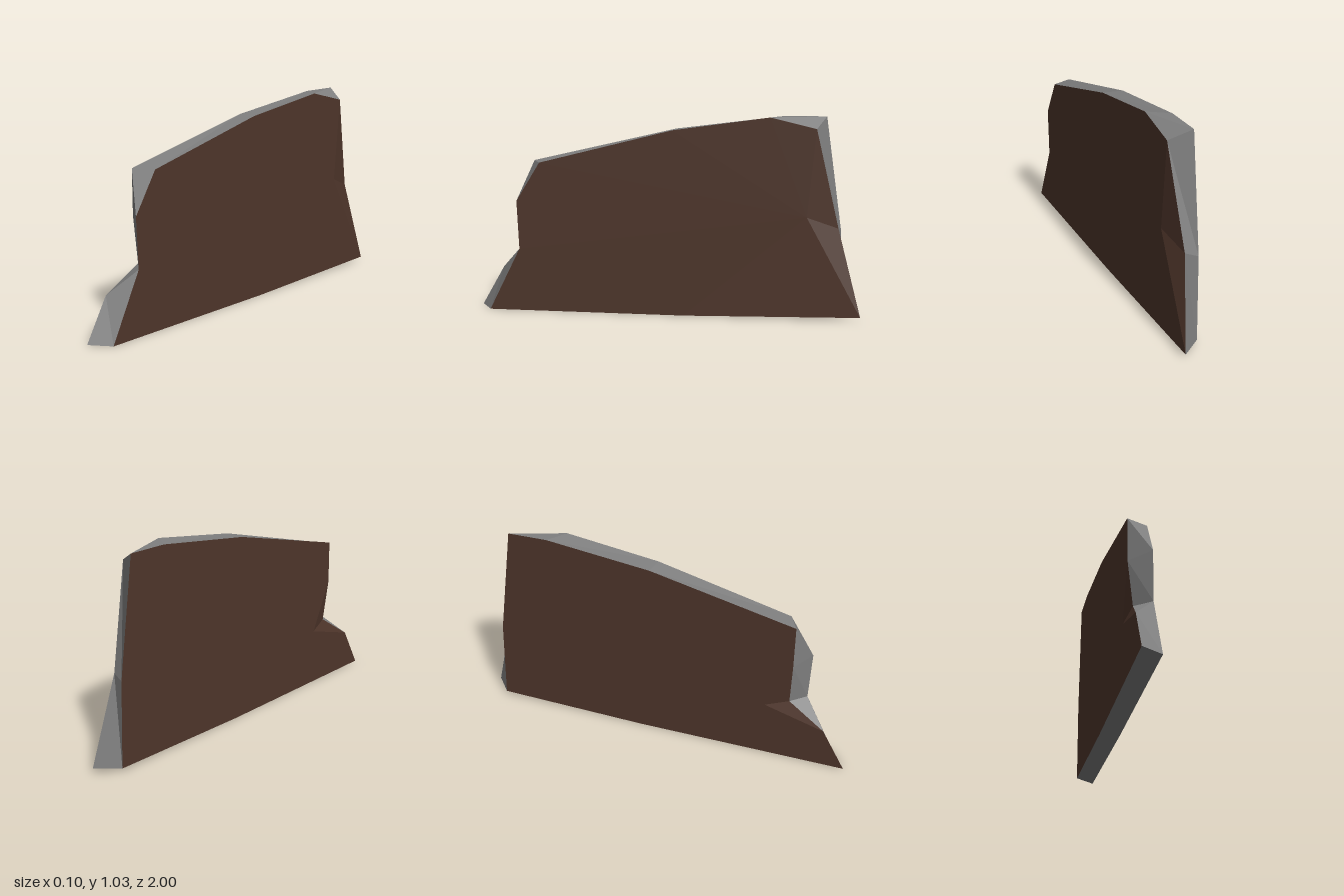
import * as THREE from 'three';

const T = 0.052; // half thickness of the slab

// Outlines of both broad faces as [z, y, x?], from the front foot up, over the top and down the back
const RIGHT_X = [
  [0.93, 0], [0.765, 0.33], [0.765, 0.33], [0.775, 0.583], [0.65, 0.785], [-0.04, 0.96],
  [-0.53, 1.03], [-0.76, 0.975], [-0.88, 0.47, 0.01], [-1, 0.02], [-0.1, 0],
];
const LEFT_X = [
  [1, 0], [0.88, 0.21], [0.69, 0.335, -0.027], [0.70, 0.56], [0.70, 0.785], [-0.05, 0.96],
  [-0.60, 1.03], [-0.81, 1.03], [-0.895, 0.45], [-0.91, 0.02], [-0.1, 0],
];

const toPoints = (outline, x) => outline.map(([z, y, px = x]) => new THREE.Vector3(px, y, z));

function facets(name, triangles, material) {
  // drop the collapsed triangles, where two corners coincide
  const solid = triangles.filter(([a, b, c]) => new THREE.Triangle(a, b, c).getArea() > 1e-7);
  const geometry = new THREE.BufferGeometry().setFromPoints(solid.flat());
  geometry.computeVertexNormals();
  const mesh = new THREE.Mesh(geometry, material);
  mesh.name = name;
  return mesh;
}

export function createModel() {
  const brown = new THREE.MeshStandardMaterial({ color: 0x4f362b });
  brown.name = 'dark brown face';
  const grey = new THREE.MeshStandardMaterial({ color: 0x808080 });
  grey.name = 'grey broken edge';

  const a = toPoints(RIGHT_X, T);
  const b = toPoints(LEFT_X, -T);
  // Inner points where the chipped corners begin to bend inwards
  const aInner = new THREE.Vector3(T, 0.53, -0.72);
  const bInner = new THREE.Vector3(-T, 0.3, 0.57);

  const faceA = [], faceB = [], rim = [];
  for (let i = 0; i < a.length; i++) {
    const j = (i + 1) % a.length;
    faceA.push([aInner, a[j], a[i]]);
    faceB.push([bInner, b[i], b[j]]);
    rim.push([a[i], a[j], b[j]], [a[i], b[j], b[i]]);
  }

  const model = new THREE.Group();
  model.name = 'brokenSlab';
  model.add(
    facets('leftFace', faceA, brown),
    facets('rightFace', faceB, brown),
    facets('brokenRim', rim, grey),
  );
  return model;
}
